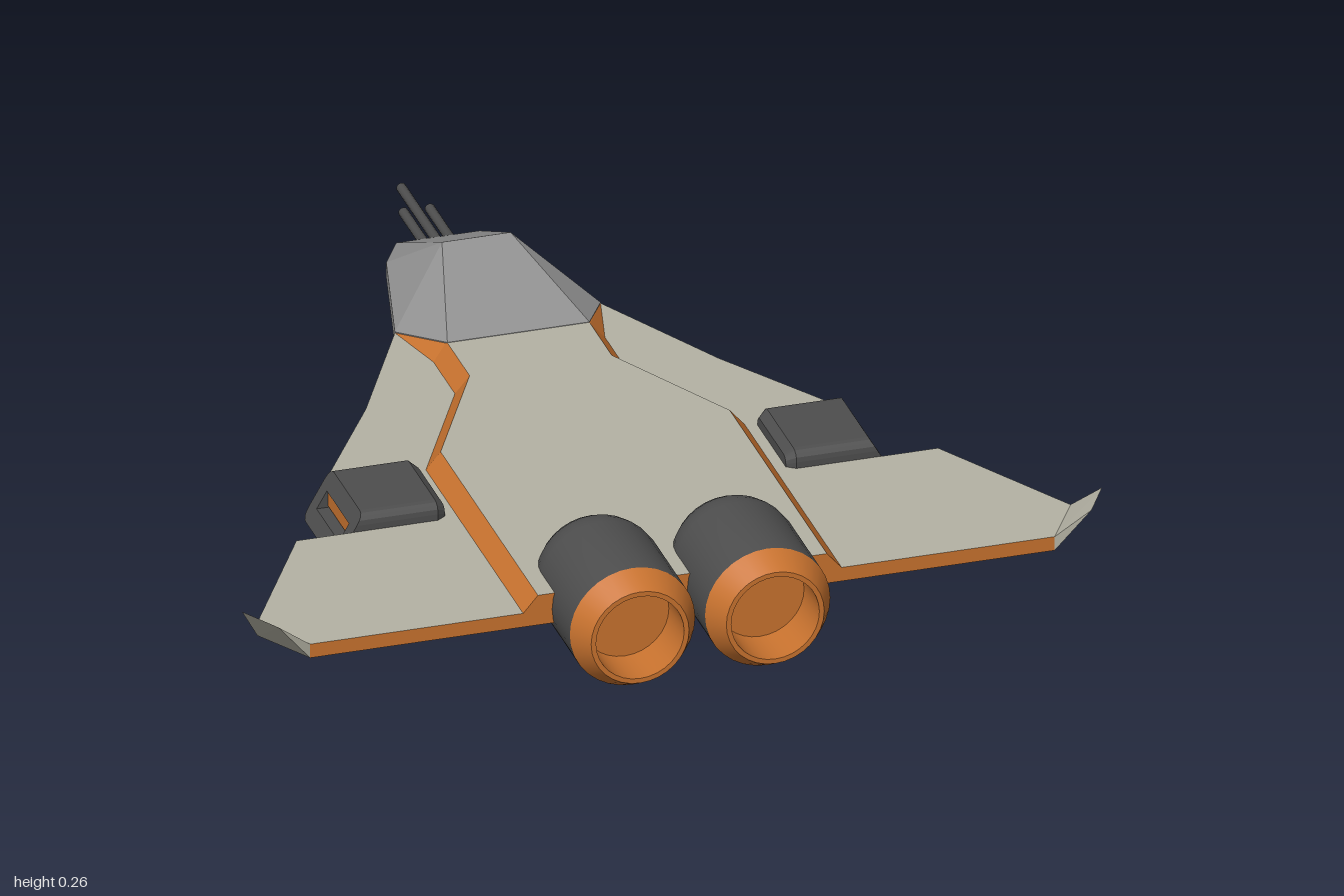
import * as THREE from 'three';
import { toCreasedNormals } from 'three/addons/utils/BufferGeometryUtils.js';
import { ConvexGeometry } from 'three/addons/geometries/ConvexGeometry.js';

const material = (name, color) => {
  const m = new THREE.MeshStandardMaterial({ color });
  m.name = name;
  return m;
};

export function createModel() {
  const hull = material('hull', 0xb4b2a4);
  const orange = material('orange trim', 0xc9732f);
  const grey = material('nose grey', 0x929292);
  const dark = material('dark metal', 0x4e4e4e);

  const ship = new THREE.Group();
  ship.name = 'spaceship';
  const add = (name, geometry, mat) => {
    const mesh = new THREE.Mesh(geometry, mat);
    mesh.name = name;
    ship.add(mesh);
    return mesh;
  };
  const v = (x, y, z) => new THREE.Vector3(x, y, z);

  // Horizontal slab from the +x half of an [x, z] outline, mirrored to -x
  const slab = (half, y, height) => {
    const right = half.map(([x, z]) => new THREE.Vector2(x, -z));
    const left = half.map(([x, z]) => new THREE.Vector2(-x, -z)).reverse();
    return new THREE.ExtrudeGeometry(new THREE.Shape([...right, ...left]),
      { depth: height, bevelEnabled: false }).rotateX(-Math.PI / 2).translate(0, y, 0);
  };

  // Flat wing plate with orange edges
  add('wingPlate', slab([[0.21, -0.37], [0.36, -0.08], [0.535, 0.2], [0.535, 0.41],
    [0.655, 0.41], [0.83, 0.715], [0.76, 0.835]], 0.1, 0.03), [hull, orange]);

  // Raised deck, its top drawn inward to slope the orange edges
  const deck = slab([[0.21, -0.37], [0.175, -0.23], [0.175, -0.09], [0.325, 0.2],
    [0.325, 0.835]], 0.13, 0.035);
  const dp = deck.attributes.position;
  for (let i = 0; i < dp.count; i++) {
    if (dp.getY(i) < 0.15) continue;
    const x = dp.getX(i), front = dp.getZ(i) < -0.3;
    dp.setX(i, Math.sign(x) * (front ? 0.145 : Math.abs(x) - 0.03));
    if (front) dp.setZ(i, -0.24);
  }
  deck.computeVertexNormals();
  add('deck', deck, [hull, orange]);

  // Faceted nose
  const nosePoints = [];
  for (const s of [-1, 1]) {
    nosePoints.push(
      v(s * 0.085, 0.115, -0.76), v(s * 0.085, 0.095, -0.76),
      v(s * 0.14, 0.135, -0.65), v(s * 0.14, 0.1, -0.65),
      v(s * 0.07, 0.238, -0.51), v(s * 0.07, 0.03, -0.51),
      v(s * 0.21, 0.132, -0.37), v(s * 0.21, 0.1, -0.37),
      v(s * 0.145, 0.166, -0.235), v(s * 0.145, 0.099, -0.235));
  }
  add('nose', new ConvexGeometry(nosePoints), grey);

  // Three gun barrels
  for (const [x, end] of [[0, -1], [-0.027, -0.9], [0.027, -0.9]]) {
    const length = end * -1 - 0.74;
    add('gunBarrel', new THREE.CylinderGeometry(0.01, 0.01, length, 12)
      .rotateX(Math.PI / 2).translate(x, 0.104, end + length / 2), dark);
  }

  // Engines: domed casing and hollow nozzle
  const lathe = (points) => toCreasedNormals(new THREE.LatheGeometry(
    points.map(([r, z]) => new THREE.Vector2(r, z)), 32).rotateX(Math.PI / 2), 0.5);
  const R = 0.128;
  const casing = [];
  for (let i = 0; i <= 8; i++) {
    const a = (i / 8) * Math.PI / 2;
    casing.push([R * Math.sin(a), 0.745 - R * Math.cos(a)]);
  }
  casing.push([R, 0.95]);
  const nozzle = [[R, 0.95], [0.1, 1], [0.09, 1], [0.09, 0.9], [0, 0.9]];

  // Side pod: rounded section, pinched at the inner end, slanted at the outer end
  const rounded = new THREE.Shape();
  const w = 0.105, h = 0.05, r = 0.022;
  rounded.moveTo(-w + r, -h).lineTo(w - r, -h).quadraticCurveTo(w, -h, w, -h + r);
  rounded.lineTo(w, h - r).quadraticCurveTo(w, h, w - r, h);
  rounded.lineTo(-w + r, h).quadraticCurveTo(-w, h, -w, h - r);
  rounded.lineTo(-w, -h + r).quadraticCurveTo(-w, -h, -w + r, -h);
  const slot = new THREE.Path();
  slot.moveTo(-0.072, -0.018).lineTo(-0.072, 0.018).lineTo(0.072, 0.018)
    .lineTo(0.072, -0.018).closePath();
  rounded.holes.push(slot);
  const pod = new THREE.ExtrudeGeometry(rounded,
    { depth: 1, steps: 2, bevelEnabled: false, curveSegments: 4 }).rotateY(Math.PI / 2);
  const pp = pod.attributes.position;
  for (let i = 0; i < pp.count; i++) {
    const t = pp.getX(i), y = pp.getY(i), z = pp.getZ(i);
    if (t < 0.25) pp.setXYZ(i, 0, y * 0.72, z * 0.88);
    else pp.setX(i, t < 0.75 ? 0.018 : 0.2 - y * 0.58);
  }
  pod.computeVertexNormals();
  const plug = new THREE.BoxGeometry(0.16, 0.042, 0.15).translate(0.085, 0, 0);

  for (const s of [-1, 1]) {
    const engine = new THREE.Group();
    engine.name = s > 0 ? 'leftEngine' : 'rightEngine';
    engine.position.set(s * 0.138, 0.13, 0);
    const casingMesh = add('engineCasing', lathe(casing), dark);
    const nozzleMesh = add('engineNozzle', lathe(nozzle), orange);
    engine.add(casingMesh, nozzleMesh);
    ship.add(engine);

    const podGroup = new THREE.Group();
    podGroup.name = s > 0 ? 'leftPod' : 'rightPod';
    podGroup.add(add('podShell', pod, dark), add('podSlotBack', plug, dark));
    podGroup.position.set(s * 0.348, 0.115, 0.305);
    podGroup.rotation.y = s > 0 ? 0 : Math.PI;
    ship.add(podGroup);

    // Upturned wing tip
    add(s > 0 ? 'leftWingTip' : 'rightWingTip', new ConvexGeometry([
      v(s * 0.83, 0.1, 0.715), v(s * 0.83, 0.13, 0.715),
      v(s * 0.76, 0.1, 0.835), v(s * 0.76, 0.13, 0.835),
      v(s * 0.878, 0.186, 0.767), v(s * 0.83, 0.186, 0.852)]), hull);
  }
  return ship;
}
